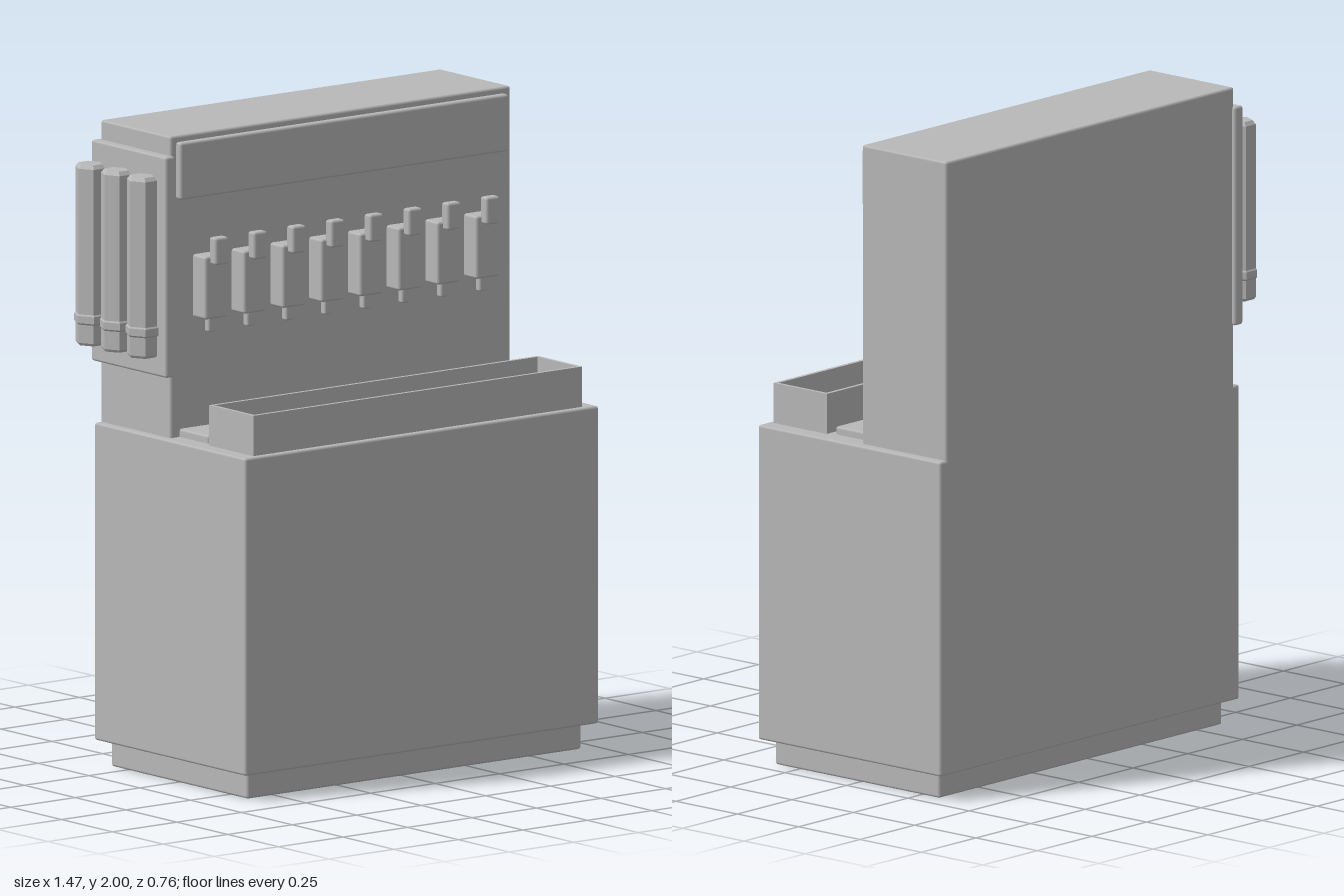
import * as THREE from 'three';
import { RoundedBoxGeometry } from 'three/addons/geometries/RoundedBoxGeometry.js';

export function createModel() {
  const model = new THREE.Group();
  model.name = 'drinkDispenser';
  const grey = new THREE.MeshStandardMaterial({ color: 0xb8b8b8 });
  grey.name = 'grey';

  const add = (name, geometry, parent = model) => {
    const mesh = new THREE.Mesh(geometry, grey);
    mesh.name = name;
    parent.add(mesh);
    return mesh;
  };
  // Box with a small chamfer, given by its limits on each axis
  const box = (name, [x0, x1], [y0, y1], [z0, z1], bevel = 0.008, parent = model) => {
    const mesh = add(name, new RoundedBoxGeometry(x1 - x0, y1 - y0, z1 - z0, 1, bevel), parent);
    mesh.position.set((x0 + x1) / 2, (y0 + y1) / 2, (z0 + z1) / 2);
    return mesh;
  };

  // Cabinet
  box('plinth', [-0.605, 0.69], [0, 0.09], [-0.325, 0.345]);
  box('lowerCabinet', [-0.64, 0.73], [0.08, 1.065], [-0.365, 0.38]);
  box('upperCabinet', [-0.615, 0.703], [1.05, 2], [-0.365, -0.02]);
  box('signPanel', [-0.593, 0.68], [1.803, 1.98], [-0.04, 0.002]);

  // Open ice bin: rim outline with a hole, standing on the counter
  const rim = (w, d) => [[-w, -d], [w, -d], [w, d], [-w, d]].map(([x, y]) => new THREE.Vector2(x, y));
  const outline = new THREE.Shape(rim(0.637, 0.109));
  outline.holes.push(new THREE.Path(rim(0.625, 0.097)));
  const bin = add('iceBin', new THREE.ExtrudeGeometry(outline, { depth: 0.13, bevelEnabled: false }));
  bin.rotation.x = -Math.PI / 2;
  bin.position.set(0.043, 1.06, 0.252);

  // Drip tray with raised slats
  box('dripTray', [-0.58, 0.665], [1.055, 1.09], [-0.03, 0.122]);
  for (let i = 0; i < 6; i++) {
    const x = -0.395 + i * 0.175;
    box('traySlat', [x - 0.023, x + 0.023], [1.075, 1.105], [-0.03, 0.105], 0.006);
  }

  // Eight dispensing valves
  for (let i = 0; i < 8; i++) {
    const valve = new THREE.Group();
    valve.name = 'valve';
    valve.position.x = -0.483 + i * 0.15;
    model.add(valve);
    box('valveBody', [-0.045, 0.045], [1.43, 1.625], [-0.03, 0.042], 0.008, valve);
    box('valveLever', [-0.026, 0.026], [1.6, 1.685], [0.033, 0.068], 0.008, valve);
    box('valveNozzle', [-0.016, 0.016], [1.385, 1.445], [-0.003, 0.021], 0.006, valve);
  }

  // Cup dispensers on the side
  box('cupPlate', [-0.642, -0.605], [1.255, 1.94], [-0.378, -0.008]);
  const tubeProfile = [[0, 1.32], [0.041, 1.32], [0.046, 1.328], [0.046, 1.385], [0.05, 1.39], [0.05, 1.412],
    [0.046, 1.417], [0.046, 1.868], [0.036, 1.88], [0, 1.88]].map(([r, y]) => new THREE.Vector2(r, y));
  for (const z of [-0.325, -0.198, -0.071]) {
    // Hexagonal, with corners pointing along x
    const geometry = new THREE.LatheGeometry(tubeProfile, 6, Math.PI / 2).toNonIndexed();
    geometry.computeVertexNormals();
    const tube = add('cupTube', geometry);
    tube.position.set(-0.685, 0, z);
    tube.scale.z = 1.13;
  }
  return model;
}
